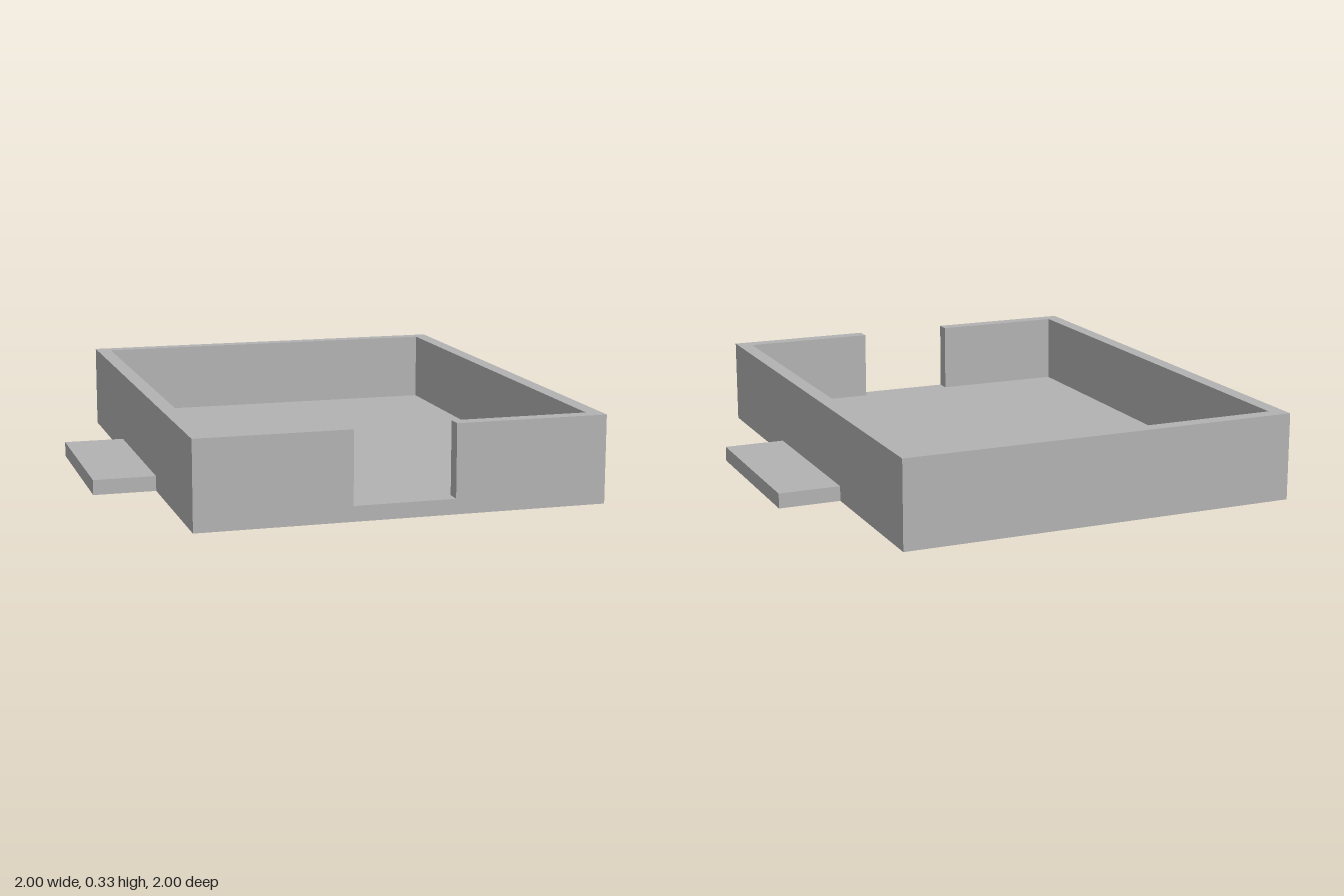
import * as THREE from 'three';

const W = 0.763;      // half width of the tray
const D = 1;          // half depth of the tray
const T = 0.057;      // wall and floor thickness
const H = 0.33;       // overall height
const NOTCH = 0.19;   // half width of the front opening
const TAB_X = 1;      // outer edge of the side tabs
const TAB_Z = 0.352;  // half length of the side tabs

// Extrudes a plan outline of [x, z] points upward from y0 to y1
function slab(points, y0, y1) {
  const shape = new THREE.Shape(points.map(([x, z]) => new THREE.Vector2(x, -z)));
  const geometry = new THREE.ExtrudeGeometry(shape, { depth: y1 - y0, bevelEnabled: false });
  geometry.rotateX(-Math.PI / 2);
  geometry.translate(0, y0, 0);
  return geometry;
}

// Completes a symmetric outline from its +x half
function mirrored(half) {
  return [...half, ...half.map(([x, z]) => [-x, z]).reverse()];
}

export function createModel() {
  const group = new THREE.Group();
  group.name = 'tray';
  const grey = new THREE.MeshStandardMaterial({ color: 0xb2b2b2 });
  grey.name = 'grey';

  const add = (name, geometry) => {
    const mesh = new THREE.Mesh(geometry, grey);
    mesh.name = name;
    group.add(mesh);
  };

  // Floor plate with a mounting tab on each side
  add('floorWithTabs', slab(mirrored([
    [W, D], [W, TAB_Z], [TAB_X, TAB_Z], [TAB_X, -TAB_Z], [W, -TAB_Z], [W, -D],
  ]), 0, T));

  // One continuous wall, open at the middle of the front
  const inner = W - T;
  const half = [[NOTCH, D], [W, D], [W, -D]];
  const inside = [[NOTCH, D - T], [inner, D - T], [inner, -D + T]];
  const flip = ([x, z]) => [-x, z];
  add('walls', slab([
    ...half, ...half.map(flip).reverse(),
    ...inside.map(flip), ...[...inside].reverse(),
  ], T, H));

  return group;
}
